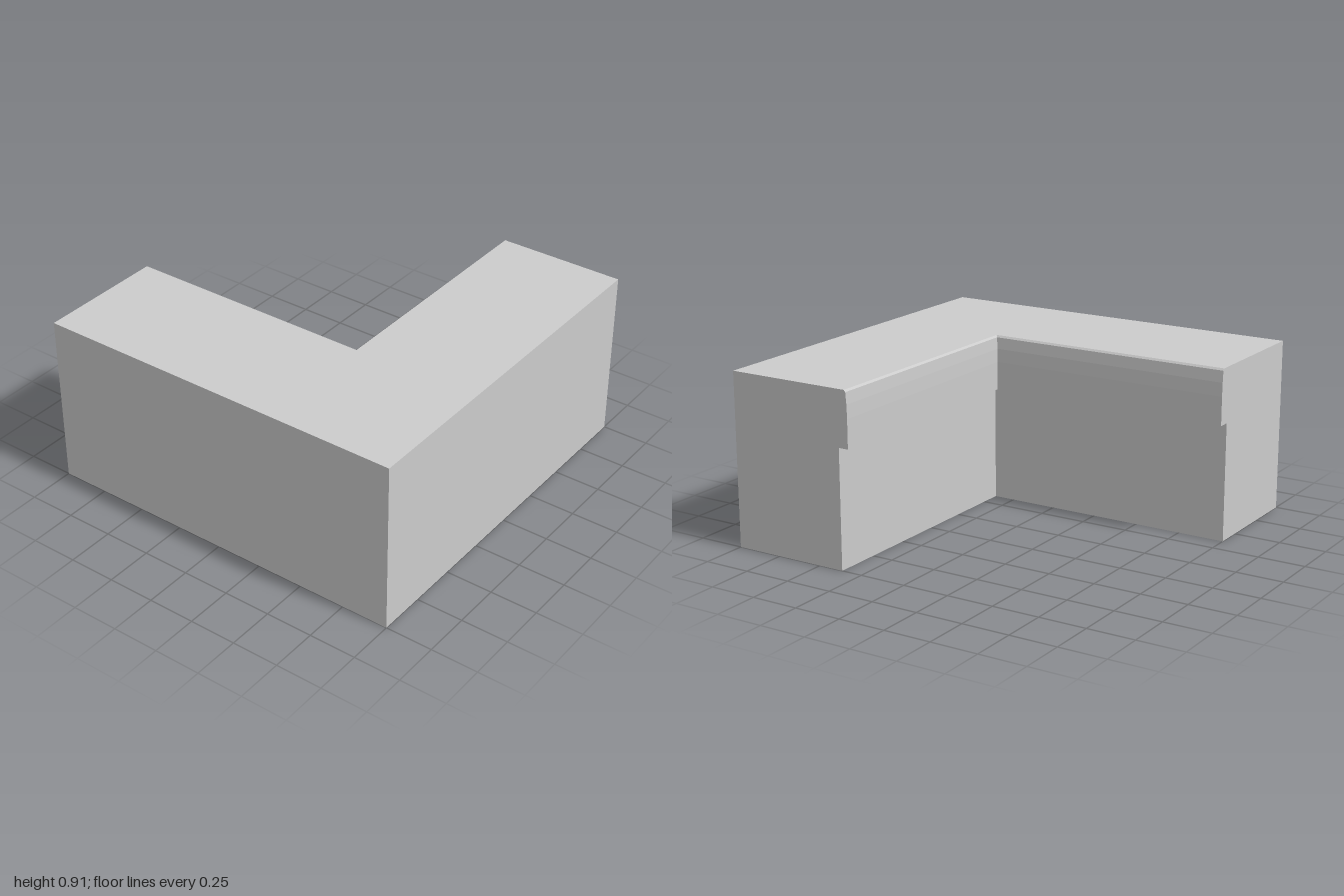
import * as THREE from 'three';

// Cross-section: distance from the centre lines, and height (counter-clockwise)
const PROFILE = [
  [1, 0], [1, 0.91],
  [0.326, 0.91], [0.317, 0.9], [0.312, 0.84], [0.31, 0.77], [0.31, 0.62], // rounded lip
  [0.364, 0.62], [0.364, 0], // recessed inner wall
].map(([d, y]) => new THREE.Vector2(d, y));

// The front arm is very slightly deeper than the side arm along its lip
const frontZ = (d) => (d < 0.35 ? d - 0.008 : d);

// Three stations of the sweep: side arm end, mitred corner, front arm end
const STATIONS = [
  (p) => [p.x, p.y, -1],
  (p) => [p.x, p.y, frontZ(p.x)],
  (p) => [-1, p.y, frontZ(p.x)],
];

function cornerGeometry() {
  const pos = [];
  const tri = (...corners) => corners.forEach((c) => pos.push(...c));

  // Long faces of both arms
  for (let s = 0; s < 2; s++) {
    const [from, to] = [STATIONS[s], STATIONS[s + 1]];
    PROFILE.forEach((p, i) => {
      const q = PROFILE[(i + 1) % PROFILE.length];
      tri(from(p), from(q), to(q));
      tri(from(p), to(q), to(p));
    });
  }

  // End caps
  for (const face of THREE.ShapeUtils.triangulateShape(PROFILE, [])) {
    const [a, b, c] = face.map((i) => PROFILE[i]);
    tri(...[c, b, a].map(STATIONS[0]));
    tri(...[a, b, c].map(STATIONS[2]));
  }

  const geometry = new THREE.BufferGeometry();
  geometry.setAttribute('position', new THREE.Float32BufferAttribute(pos, 3));
  geometry.computeVertexNormals();
  return geometry;
}

export function createModel() {
  const group = new THREE.Group();
  group.name = 'cornerCounter';
  const material = new THREE.MeshStandardMaterial({ color: 0xcccccc, flatShading: true });
  const body = new THREE.Mesh(cornerGeometry(), material);
  body.name = 'counterBody';
  group.add(body);
  return group;
}
